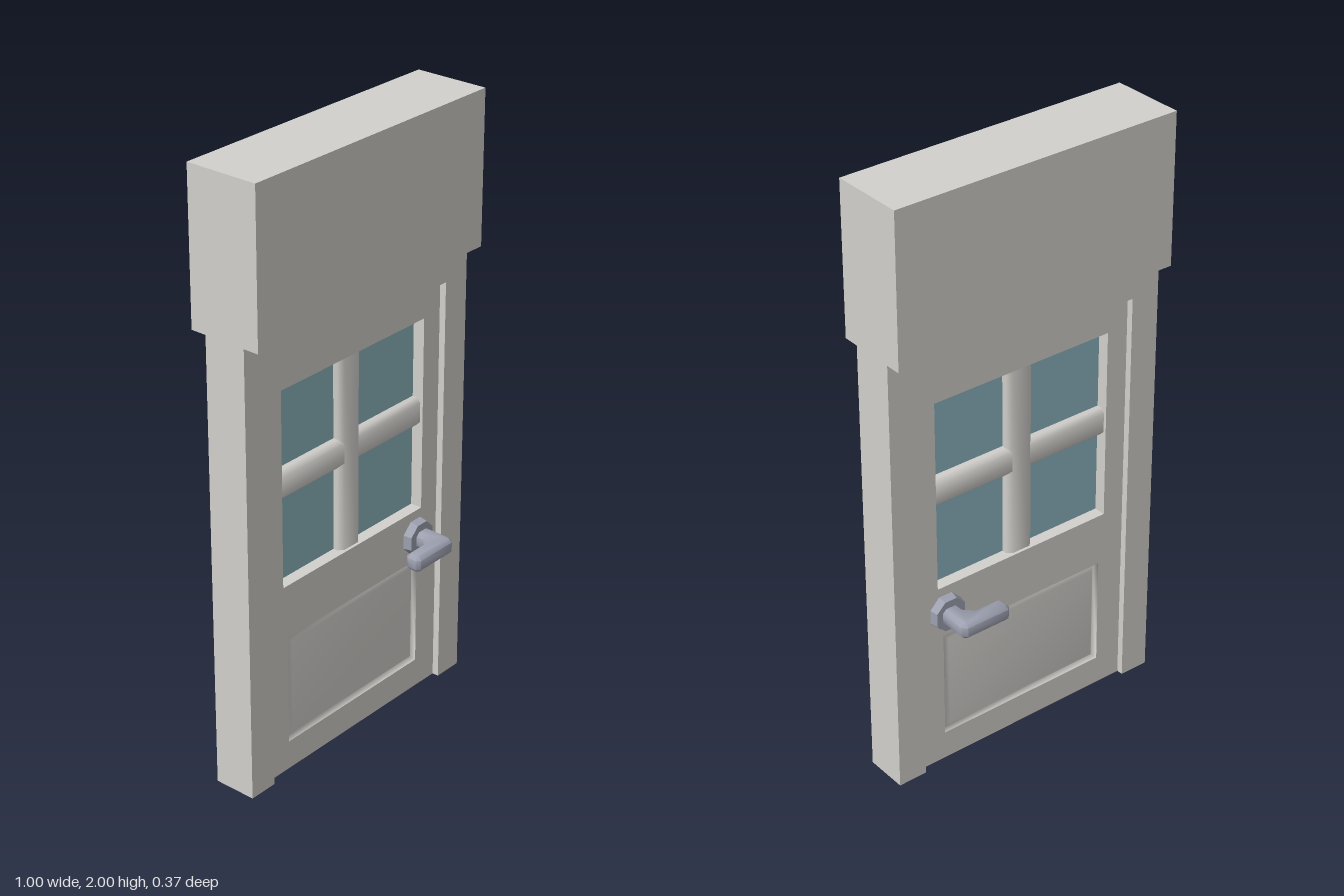
import * as THREE from 'three';
import { toCreasedNormals } from 'three/addons/utils/BufferGeometryUtils.js';

const mat = (name, color) => new THREE.MeshStandardMaterial({ name, color });

const polygon = (pts) => new THREE.Shape(pts.map(([x, y]) => new THREE.Vector2(x, y)));

const rect = (x0, y0, x1, y1) => polygon([[x0, y0], [x1, y0], [x1, y1], [x0, y1]]);

// Extrusion centred on z = 0
function slab(shape, depth) {
  return new THREE.ExtrudeGeometry(shape, { depth, bevelEnabled: false }).translate(0, 0, -depth / 2);
}

// Bar along z with chamfered edges and softly shaded sides
function chamferedBar(w, d, c, length) {
  const x = w / 2, y = d / 2;
  const section = polygon([
    [-x + c, -y], [x - c, -y], [x, -y + c], [x, y - c],
    [x - c, y], [-x + c, y], [-x, y - c], [-x, -y + c],
  ]);
  return toCreasedNormals(slab(section, length), 1.0);
}

// Rectangular rings [halfWidth, halfHeight, z] from outside in, closed by a smooth-shaded field
function raisedPanel(rings) {
  const pos = [], index = [];
  rings.forEach(([w, h, z]) => pos.push(-w, -h, z, w, -h, z, w, h, z, -w, h, z));
  for (let r = 0; r < rings.length - 1; r++) {
    for (let i = 0; i < 4; i++) {
      const a = r * 4 + i, b = r * 4 + (i + 1) % 4;
      index.push(a, b, b + 4, a, b + 4, a + 4);
    }
  }
  const k = (rings.length - 1) * 4;
  index.push(k, k + 1, k + 2, k, k + 2, k + 3);
  const geo = new THREE.BufferGeometry();
  geo.setAttribute('position', new THREE.Float32BufferAttribute(pos, 3));
  geo.setIndex(index);
  geo.computeVertexNormals();
  return geo;
}

export function createModel() {
  const model = new THREE.Group();
  model.name = 'door';
  const paint = mat('pale grey paint', 0xd2d0cc);
  const glass = mat('blue glass', 0x8cb4be);
  const metal = mat('grey metal', 0x9da1b0);

  const add = (name, geo, material, parent = model) => {
    const mesh = new THREE.Mesh(geo, material);
    mesh.name = name;
    parent.add(mesh);
    return mesh;
  };

  // Wall block above the doorway
  add('header', new THREE.BoxGeometry(1, 0.5, 0.25).translate(0, 1.75, 0), paint);

  // Jambs and lintel
  add('frame', slab(polygon([
    [-0.5, 0], [-0.4, 0], [-0.4, 1.4], [0.4, 1.4],
    [0.4, 0], [0.5, 0], [0.5, 1.5], [-0.5, 1.5],
  ]), 0.144), paint);

  // Door leaf with openings for the window and the lower panel
  const doorZ = 0.05;
  const panelY = 0.284, panelW = 0.307, panelH = 0.186;
  const leaf = rect(-0.4, 0, 0.4, 1.4);
  leaf.holes.push(rect(-0.325, 0.65, 0.325, 1.3));
  leaf.holes.push(rect(-panelW, panelY - panelH, panelW, panelY + panelH));
  add('doorLeaf', slab(leaf, doorZ * 2), paint);

  // Window pane and glazing bars
  add('windowPane', new THREE.BoxGeometry(0.65, 0.65, 0.02).translate(0, 0.975, 0), glass);
  const upright = add('verticalGlazingBar', chamferedBar(0.096, 0.08, 0.015, 0.65).rotateX(Math.PI / 2), paint);
  upright.position.set(-0.002, 0.975, 0);
  const cross = add('horizontalGlazingBar', chamferedBar(0.096, 0.08, 0.015, 0.65).rotateX(Math.PI / 2).rotateZ(Math.PI / 2), paint);
  cross.position.set(0, 0.98, 0);

  // Raised panel inside a groove
  const panelGeo = raisedPanel([
    [panelW, panelH, doorZ],
    [panelW - 0.009, panelH - 0.009, doorZ - 0.016],
    [panelW - 0.022, panelH - 0.022, doorZ - 0.004],
  ]);

  // Lever: an L outline in x and z with chamfered edges
  const c = 0.012, thick = 0.056;
  const leverGeo = new THREE.ExtrudeGeometry(polygon([
    [0.27, 0.04], [0.328, 0.04], [0.328, 0.168], [0.314, 0.183], [0.162, 0.183],
    [0.15, 0.171], [0.15, 0.139], [0.162, 0.127], [0.245, 0.127], [0.27, 0.102],
  ]), {
    depth: thick - 2 * c, bevelEnabled: true, bevelThickness: c,
    bevelSize: c, bevelOffset: -c, bevelSegments: 1,
  }).translate(0, 0, c - thick / 2).rotateX(Math.PI / 2);
  const smoothLever = toCreasedNormals(leverGeo, 0.9);

  // Eight-sided plate behind the lever
  const plateGeo = toCreasedNormals(
    new THREE.CylinderGeometry(0.057, 0.063, 0.034, 8)
      .rotateY(Math.PI / 8).rotateX(Math.PI / 2).translate(0.297, 0, 0.061), 0.6);

  // Both faces carry the same panel and handle
  for (const [side, turn] of [['front', 0], ['back', Math.PI]]) {
    const panel = add(side + 'Panel', panelGeo, paint);
    panel.position.y = panelY;
    panel.rotation.x = turn;

    const handle = new THREE.Group();
    handle.name = side + 'Handle';
    add('lever', smoothLever, metal, handle);
    add('handlePlate', plateGeo, metal, handle);
    handle.position.y = 0.562;
    handle.rotation.x = turn;
    model.add(handle);
  }
  return model;
}
